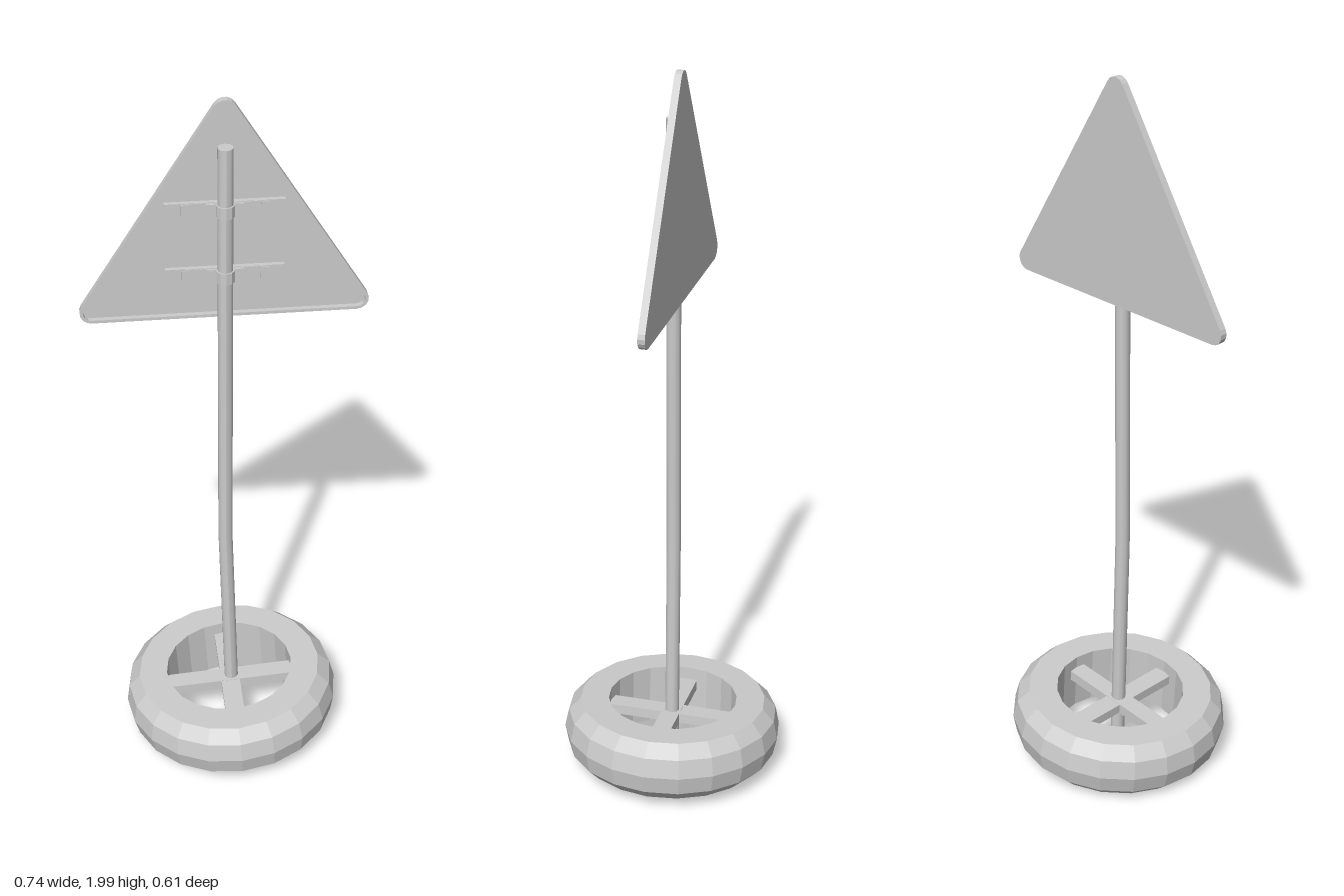
import * as THREE from 'three';

const grey = new THREE.MeshStandardMaterial({ color: 0xcccccc });
const facet = new THREE.MeshStandardMaterial({ color: 0xcccccc, flatShading: true });

function add(parent, name, geometry, material = facet) {
  const mesh = new THREE.Mesh(geometry, material);
  mesh.name = name;
  parent.add(mesh);
  return mesh;
}

function box(parent, name, size, pos) {
  const mesh = add(parent, name, new THREE.BoxGeometry(...size));
  mesh.position.set(...pos);
  return mesh;
}

// Triangle with rounded corners, drawn inward by an inset
function triangle(inset, PathType = THREE.Shape) {
  const r = 0.03 - inset;
  const centres = [[-0.339, 1.43], [0.339, 1.43], [0, 1.97]];
  const slope = Math.atan2(0.54, 0.339);
  const starts = [Math.PI / 2 + (Math.PI / 2 - slope), -Math.PI / 2, Math.PI / 2 - slope];
  const sweep = [Math.PI / 2 + slope, Math.PI - slope, 2 * slope];
  starts[0] = Math.PI * 1.5 - (Math.PI - slope);
  sweep[0] = Math.PI - slope;
  const path = new PathType();
  centres.forEach(([x, y], i) => {
    for (let k = 0; k <= 5; k++) {
      const a = starts[i] + (sweep[i] * k) / 5;
      const px = x + r * Math.cos(a), py = y + r * Math.sin(a);
      if (i + k === 0) path.moveTo(px, py);
      else path.lineTo(px, py);
    }
  });
  path.closePath();
  return path;
}

function plate(shape, depth, z) {
  return new THREE.ExtrudeGeometry(shape, { depth, bevelEnabled: false }).translate(0, 0, z);
}

export function createModel() {
  const model = new THREE.Group();
  model.name = 'roadSign';

  // Tyre base, leaning a little, with a cross of spokes
  const base = new THREE.Group();
  base.name = 'tyreBase';
  base.position.set(0.016, 0.115, 0);
  base.rotation.z = THREE.MathUtils.degToRad(4);
  model.add(base);
  const profile = [
    [0.182, 0.086], [0.182, -0.086], [0.262, -0.086], [0.295, -0.052], [0.306, 0],
    [0.295, 0.052], [0.262, 0.086], [0.182, 0.086],
  ].map(([x, y]) => new THREE.Vector2(x, y));
  add(base, 'tyre', new THREE.LatheGeometry(profile, 20));
  box(base, 'spokeAcross', [0.365, 0.03, 0.052], [0, 0.035, 0]);
  box(base, 'spokeAlong', [0.054, 0.028, 0.365], [0, 0.035, 0]);

  // Pole, bent sideways near the foot
  const poleGeo = new THREE.CylinderGeometry(0.02, 0.02, 1.86, 10, 11).translate(0, 0.95, 0);
  const p = poleGeo.attributes.position;
  for (let i = 0; i < p.count; i++) {
    p.setX(i, p.getX(i) + 0.032 * Math.max(0, 0.7 - p.getY(i)));
  }
  poleGeo.computeVertexNormals();
  add(model, 'pole', poleGeo, grey);

  // Triangular panel with a raised rim on the pole side
  const sign = new THREE.Group();
  sign.name = 'signPanel';
  model.add(sign);
  add(sign, 'panel', plate(triangle(0), 0.005, -0.026));
  const rim = triangle(0);
  rim.holes.push(triangle(0.008, THREE.Path));
  add(sign, 'rim', plate(rim, 0.014, -0.021));

  // Two rails with clamps holding the panel to the pole
  for (const y of [1.71, 1.525]) {
    const bracket = new THREE.Group();
    bracket.name = 'bracket';
    bracket.position.y = y;
    model.add(bracket);
    box(bracket, 'railFlange', [0.3, 0.004, 0.012], [0, 0.016, -0.015]);
    box(bracket, 'clampBar', [0.21, 0.034, 0.006], [0, 0, -0.01]);
    for (const s of [-1, 1]) {
      box(bracket, 'clampTab', [0.02, 0.03, 0.016], [s * 0.1, 0, -0.013]);
      box(bracket, 'clampEar', [0.03, 0.032, 0.006], [s * 0.032, 0, -0.004]);
    }
    add(bracket, 'clampStrap', new THREE.CylinderGeometry(0.024, 0.024, 0.032, 10));
  }

  return model;
}
